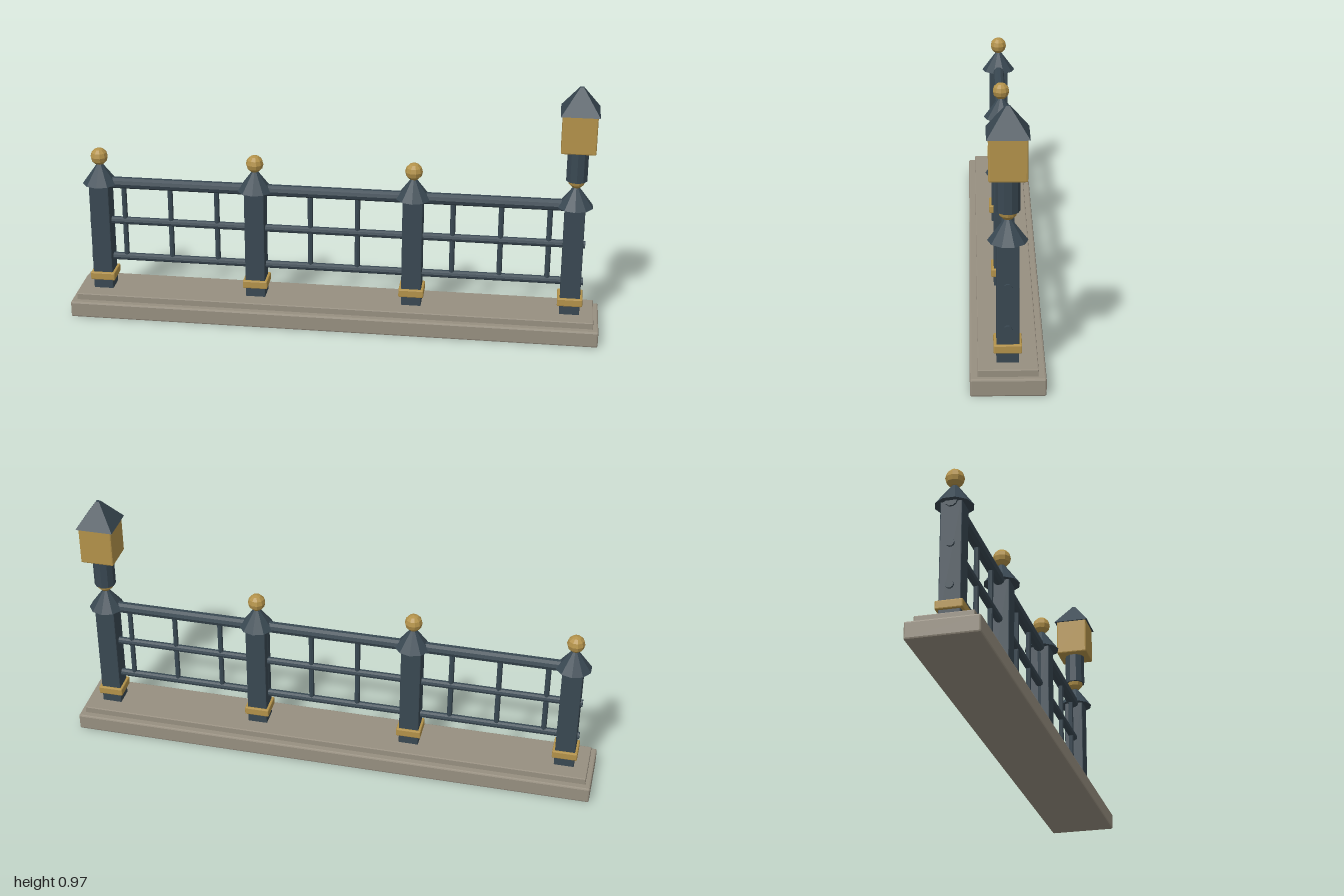
import * as THREE from 'three';
import { RoundedBoxGeometry } from 'three/addons/geometries/RoundedBoxGeometry.js';

export function createModel() {
  const model = new THREE.Group();
  model.name = 'lampFence';

  const mat = (name, color) => {
    const m = new THREE.MeshStandardMaterial({ color, flatShading: true });
    m.name = name;
    return m;
  };
  const iron = mat('dark iron', 0x394852);
  const brass = mat('aged brass', 0xb3924a);
  const stone = mat('stone', 0x978f80);

  const add = (parent, name, geo, material, x, y, z = 0) => {
    const mesh = new THREE.Mesh(geo, material);
    mesh.name = name;
    mesh.position.set(x, y, z);
    parent.add(mesh);
    return mesh;
  };
  // Softly bevelled box standing between two heights
  const block = (parent, name, w, d, y0, y1, bevel, material) =>
    add(parent, name, new RoundedBoxGeometry(w, y1 - y0, d, 1, bevel), material, 0, (y0 + y1) / 2);
  // Faceted upright cylinder or cone between two heights
  const turned = (parent, name, rTop, rBottom, y0, y1, sides, material, x = 0) =>
    add(parent, name, new THREE.CylinderGeometry(rTop, rBottom, y1 - y0, sides), material, x, (y0 + y1) / 2);

  // Stepped stone base
  block(model, 'baseSlab', 2, 0.252, 0, 0.063, 0.006, stone);
  block(model, 'baseStep', 1.96, 0.2, 0.058, 0.088, 0.003, stone);

  // Posts with collar, cap and ball finial
  const postX = [-0.89, -0.297, 0.297, 0.89];
  const posts = postX.map((x, i) => {
    const post = new THREE.Group();
    post.name = `post${i + 1}`;
    post.position.x = x;
    model.add(post);
    block(post, 'postShaft', 0.075, 0.075, 0.08, 0.525, 0.003, iron);
    block(post, 'postCollar', 0.094, 0.094, 0.124, 0.155, 0.004, brass);
    turned(post, 'postCap', 0.006, 0.067, 0.513, 0.595, 10, iron);
    add(post, 'ballFinial', new THREE.SphereGeometry(0.033, 10, 6), brass, 0, 0.618);
    return post;
  });

  // Horizontal rails running through every post
  [[0.21, 0.0145], [0.36, 0.0145], [0.515, 0.022]].forEach(([y, r], i) => {
    const rail = add(model, `rail${i + 1}`, new THREE.CylinderGeometry(r, r, 1.87, 10), iron, 0, y);
    rail.rotation.z = Math.PI / 2;
  });

  // Evenly spaced upright bars
  for (let i = 0; i < 10; i++) {
    turned(model, `bar${i + 1}`, 0.01, 0.01, 0.2, 0.5, 8, iron, -0.801 + i * 0.178);
  }

  // Lantern on the end post
  const lantern = new THREE.Group();
  lantern.name = 'lantern';
  posts[3].add(lantern);
  turned(lantern, 'lanternStem', 0.04, 0.04, 0.616, 0.742, 10, iron);
  block(lantern, 'lanternBox', 0.126, 0.126, 0.736, 0.886, 0.005, brass);
  const roof = turned(lantern, 'lanternRoof', 0.009, 0.099, 0.88, 0.972, 4, iron);
  roof.rotation.y = Math.PI / 4;

  return model;
}
